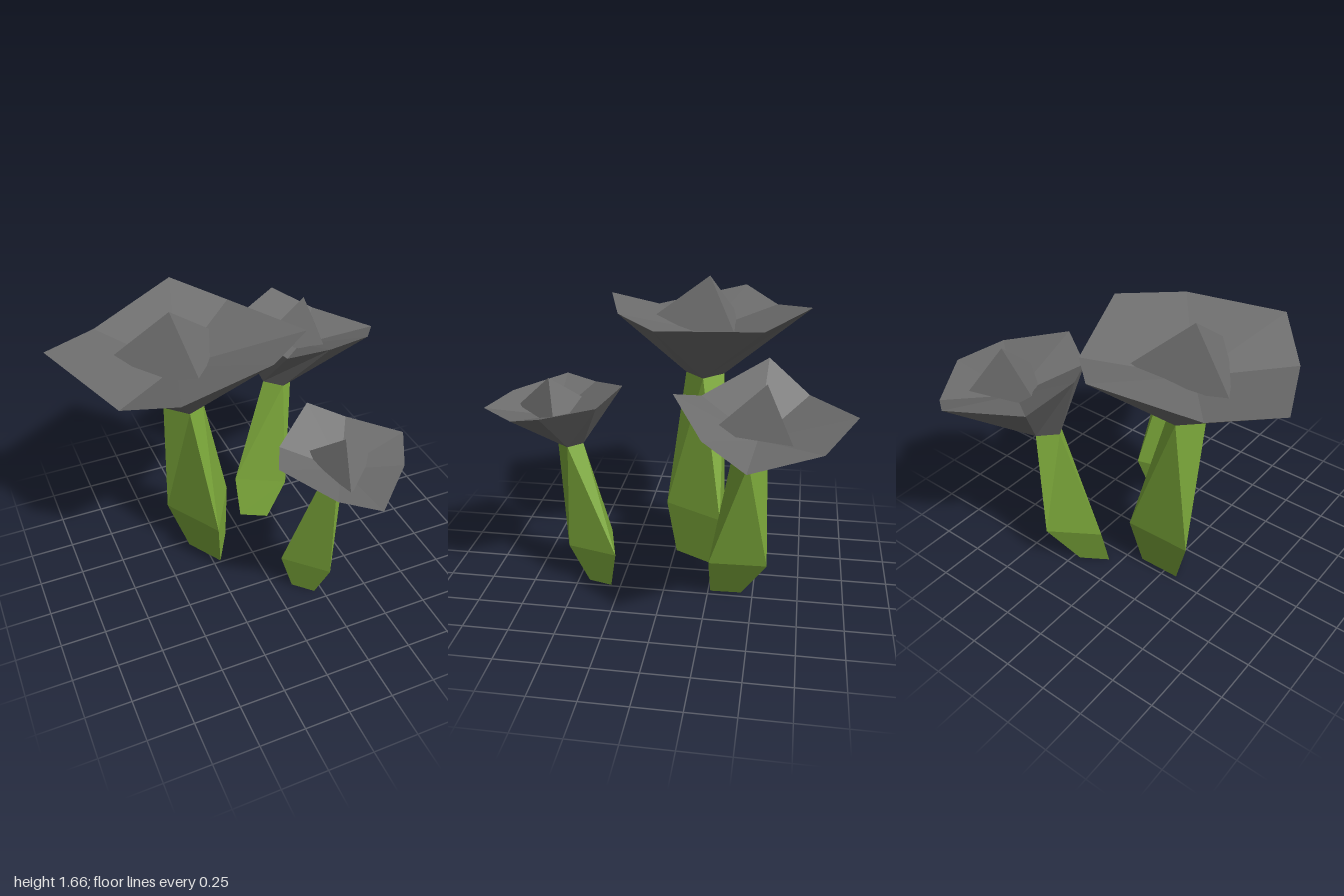
import * as THREE from 'three';

const stemGreen = new THREE.MeshStandardMaterial({ color: 0x7fac3c });
stemGreen.name = 'stem green';
const capGrey = new THREE.MeshStandardMaterial({ color: 0x6e6e6e });
capGrey.name = 'cap grey';

// Corner at an angle in degrees, counter-clockwise from +x seen from above
function corner([cx, cz], angle, radius, y) {
  const a = THREE.MathUtils.degToRad(angle);
  return { angle, p: [cx + radius * Math.cos(a), y, cz - radius * Math.sin(a)] };
}

// Regular ring of corners
function ring(centre, y, radius, sides, start) {
  return Array.from({ length: sides }, (_, i) => corner(centre, start + (i * 360) / sides, radius, y));
}

// Join two rings that may have different numbers of corners
function stitch(lower, upper) {
  const tris = [];
  const at = (r, i) => r[i % r.length].p;
  const angle = (r, i) => r[i % r.length].angle + (i >= r.length ? 360 : 0);
  let i = 0, j = 0;
  while (i < lower.length || j < upper.length) {
    const moveLower = j >= upper.length ||
      (i < lower.length && angle(lower, i + 1) < angle(upper, j + 1));
    if (moveLower) {
      tris.push(at(lower, i), at(lower, i + 1), at(upper, j));
      i++;
    } else {
      tris.push(at(lower, i), at(upper, j + 1), at(upper, j));
      j++;
    }
  }
  return tris;
}

// Join a ring to a point above or inside it
function fan(r, tip) {
  return r.flatMap(({ p }, i) => [p, r[(i + 1) % r.length].p, tip]);
}

// Unshared corners give flat facets
function facetMesh(name, tris, material) {
  const geometry = new THREE.BufferGeometry();
  geometry.setAttribute('position', new THREE.Float32BufferAttribute(tris.flat(), 3));
  geometry.computeVertexNormals();
  const mesh = new THREE.Mesh(geometry, material);
  mesh.name = name;
  return mesh;
}

function mushroom(name, { stem, cap, peak }) {
  const group = new THREE.Group();
  group.name = name;

  // Leaning stem: three-sided foot and bulge, four-sided neck
  const foot = ring(stem.foot, 0, stem.footRadius, 3, stem.turn);
  const bulge = ring(stem.bulge, stem.bulgeY, stem.bulgeRadius, 3, stem.turn);
  const neck = ring(stem.neck, stem.neckY, stem.neckRadius, 4, 0);
  const sole = foot.map(c => c.p).reverse();
  group.add(facetMesh('stem', [...sole, ...stitch(foot, bulge), ...stitch(bulge, neck)], stemGreen));

  // Eight-cornered cap: corners in pairs 34 degrees apart, one pair per quarter turn
  const rim = cap.heights.map((y, i) =>
    corner(cap.centre, cap.turn + 90 * Math.floor(i / 2) + 34 * (i % 2), cap.radii[i], y));
  const hollow = [cap.centre[0], cap.hollowY, cap.centre[1]];
  group.add(facetMesh('cap', [...stitch(neck, rim), ...fan(rim, hollow)], capGrey));

  // Three-sided peak whose base corners sink into the hollow
  const peakBase = ring(cap.centre, peak.baseY, peak.radius, 3, peak.turn);
  group.add(facetMesh('peak', fan(peakBase, peak.tip), capGrey));
  return group;
}

export function createModel() {
  const model = new THREE.Group();
  model.name = 'mushroomCluster';

  model.add(mushroom('tallMushroom', {
    stem: {
      turn: 31, foot: [-0.21, -0.15], footRadius: 0.14,
      bulge: [-0.24, -0.17], bulgeY: 0.31, bulgeRadius: 0.222,
      neck: [-0.34, -0.155], neckY: 1.11, neckRadius: 0.11,
    },
    cap: {
      centre: [-0.365, -0.15], turn: 39.5, hollowY: 1.35,
      radii: [0.557, 0.62, 0.51, 0.66, 0.52, 0.6, 0.56, 0.68],
      heights: [1.475, 1.55, 1.44, 1.485, 1.4, 1.515, 1.525, 1.52],
    },
    peak: { tip: [-0.38, 1.665, -0.17], baseY: 1.395, radius: 0.345, turn: 35 },
  }));

  model.add(mushroom('backMushroom', {
    stem: {
      turn: 62, foot: [0.163, -0.348], footRadius: 0.1,
      bulge: [0.24, -0.415], bulgeY: 0.25, bulgeRadius: 0.182,
      neck: [0.36, -0.465], neckY: 0.9, neckRadius: 0.09,
    },
    cap: {
      centre: [0.53, -0.51], turn: 53, hollowY: 1.07,
      radii: [0.394, 0.47, 0.397, 0.456, 0.38, 0.42, 0.4, 0.473],
      heights: [1.11, 1.22, 1.2, 1.345, 1.2, 1.275, 1.18, 1.1],
    },
    peak: { tip: [0.56, 1.365, -0.545], baseY: 1.118, radius: 0.24, turn: 45 },
  }));

  model.add(mushroom('frontMushroom', {
    stem: {
      turn: 45, foot: [0.183, 0.36], footRadius: 0.08,
      bulge: [0.197, 0.377], bulgeY: 0.24, bulgeRadius: 0.168,
      neck: [0.22, 0.508], neckY: 0.865, neckRadius: 0.07,
    },
    cap: {
      centre: [0.233, 0.582], turn: 59, hollowY: 1.02,
      radii: [0.303, 0.365, 0.314, 0.354, 0.33, 0.388, 0.31, 0.358],
      heights: [1.13, 1.2, 1.13, 1.145, 1.09, 1.05, 1.08, 1.135],
    },
    peak: { tip: [0.23, 1.23, 0.61], baseY: 1.046, radius: 0.23, turn: 14 },
  }));

  return model;
}
